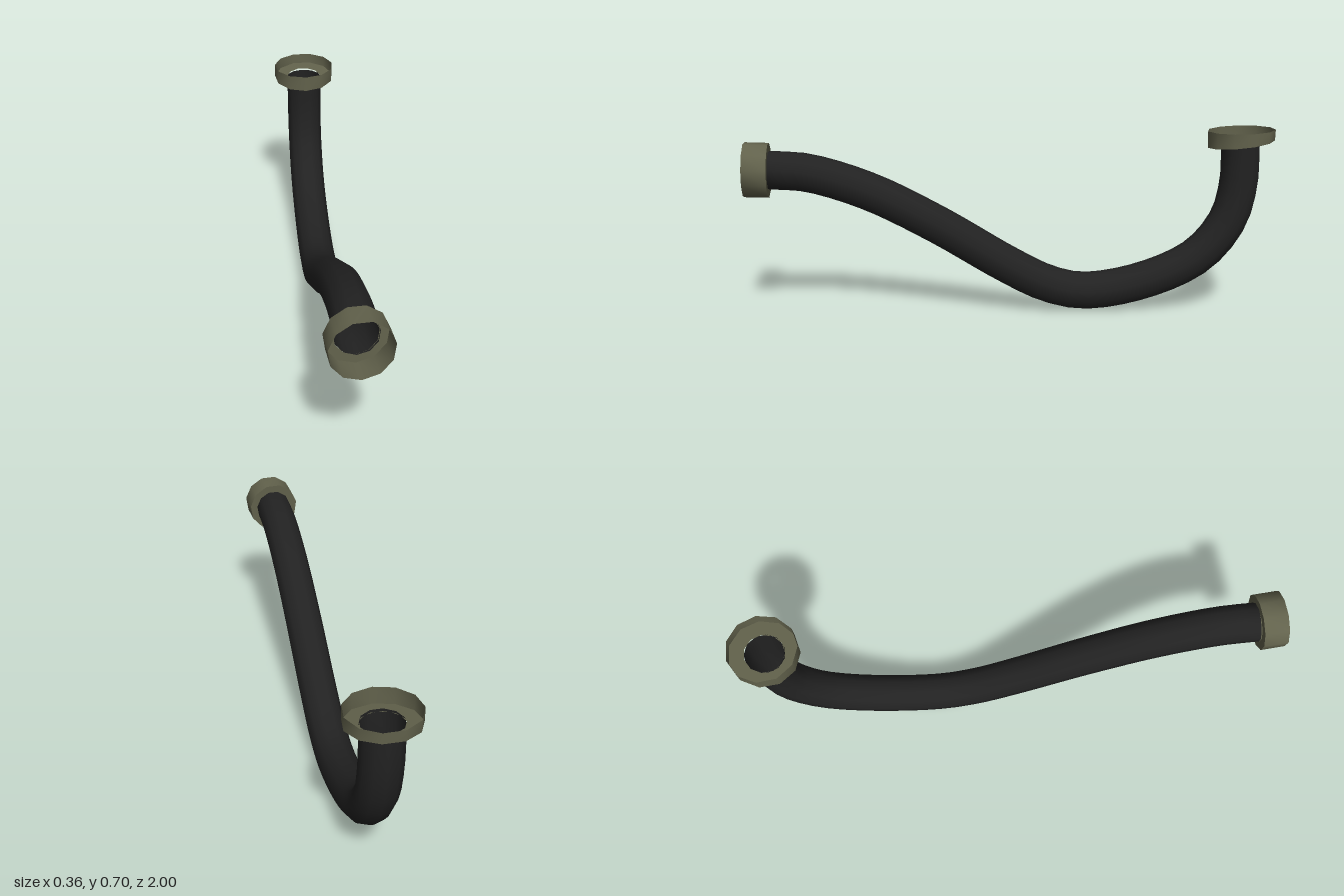
import * as THREE from 'three';

const SIDES = 11;
const across = new THREE.Vector3(1, 0, -0.066).normalize();
const V = (x, y, z) => new THREE.Vector3(x, y, z);

// Skins a series of polygonal rings { center, axis, radius } with smooth normals
function loft(rings) {
  const pos = [], index = [];
  for (const { center, axis, radius } of rings) {
    const t = axis.clone().normalize();
    const up = across.clone().cross(t).normalize();
    const side = t.clone().cross(up);
    for (let j = 0; j < SIDES; j++) {
      const a = (j / SIDES) * Math.PI * 2;
      const p = center.clone()
        .addScaledVector(up, -Math.cos(a) * radius)
        .addScaledVector(side, Math.sin(a) * radius);
      pos.push(p.x, p.y, p.z);
    }
  }
  for (let i = 0; i < rings.length - 1; i++) {
    for (let j = 0; j < SIDES; j++) {
      const k = (j + 1) % SIDES;
      const a = i * SIDES + j, b = i * SIDES + k, c = a + SIDES, d = b + SIDES;
      index.push(a, c, b, b, c, d);
    }
  }
  const g = new THREE.BufferGeometry();
  g.setAttribute('position', new THREE.Float32BufferAttribute(pos, 3));
  g.setIndex(index);
  g.computeVertexNormals();
  return g;
}

export function createModel() {
  const model = new THREE.Group();
  model.name = 'curvedPipe';

  const rubber = new THREE.MeshStandardMaterial({ color: 0x222222, side: THREE.DoubleSide });
  rubber.name = 'black rubber';
  const olive = new THREE.MeshStandardMaterial({ color: 0x62624c, side: THREE.DoubleSide });
  olive.name = 'olive metal';

  const add = (parent, name, geometry, material) => {
    const mesh = new THREE.Mesh(geometry, material);
    mesh.name = name;
    parent.add(mesh);
  };

  // Open hose: centre line given as z, y; x follows z along a slight slant
  const path = [
    [0.9, 0.558], [0.76, 0.548], [0.53, 0.475], [0.275, 0.345], [0, 0.18],
    [-0.15, 0.105], [-0.29, 0.076], [-0.53, 0.118], [-0.73, 0.215],
    [-0.84, 0.355], [-0.875, 0.5], [-0.875, 0.65],
  ].map(([z, y]) => V(0.004 + 0.066 * z, y, z));
  const curve = new THREE.CatmullRomCurve3(path);
  const hose = [];
  for (let i = 0; i <= 36; i++) {
    hose.push({ center: curve.getPointAt(i / 36), axis: curve.getTangentAt(i / 36), radius: 0.073 });
  }
  add(model, 'hose', loft(hose), rubber);

  // Cup-shaped collars: thin wall plus a floor ring around the hose opening
  function collar(name, rim, floor, radius) {
    const group = new THREE.Group();
    group.name = name;
    add(group, name + 'Wall', loft([{ ...rim, radius }, { ...floor, radius }]), olive);
    add(group, name + 'Floor', loft([{ ...floor, radius }, { ...floor, radius: 0.072 }]), olive);
    model.add(group);
  }
  const frontAxis = V(-0.14, -0.03, -1);
  collar('frontCollar',
    { center: V(0.074, 0.561, 0.987), axis: frontAxis },
    { center: V(0.062, 0.557, 0.898), axis: frontAxis }, 0.104);
  collar('rearCollar',
    { center: V(-0.054, 0.7, -0.875), axis: V(0, -1, -0.04) },
    { center: V(-0.054, 0.649, -0.875), axis: V(0, -1, -0.13) }, 0.126);

  return model;
}
